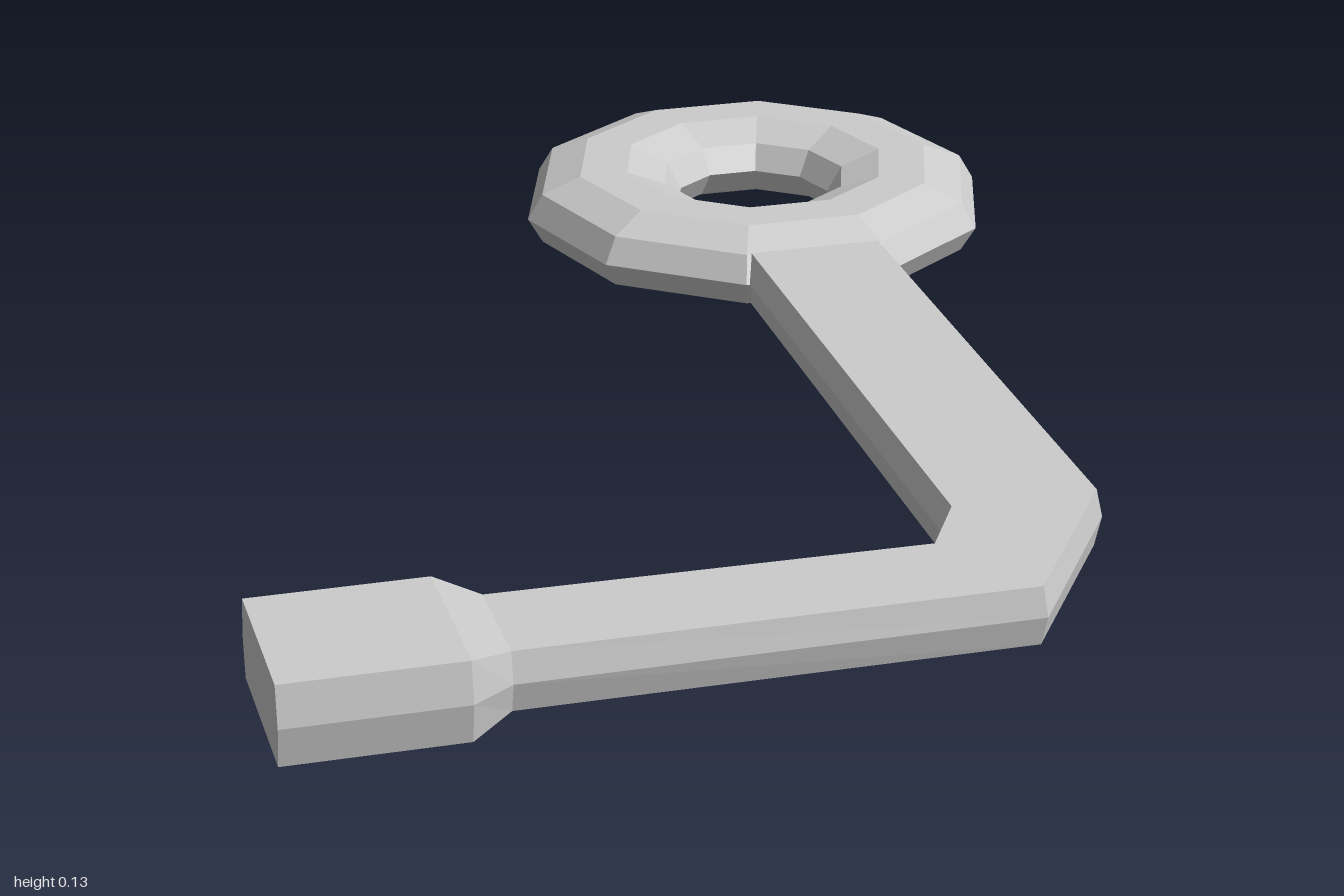
import * as THREE from 'three';

const material = new THREE.MeshStandardMaterial({ color: 0xcccccc, flatShading: true });
const MID = 0.067; // height of the horizontal mid plane

// Six-sided cross-section with slightly ridged sides
function section([xi, zi, xo, zo, h]) {
  const inner = new THREE.Vector3(xi, MID, zi);
  const outer = new THREE.Vector3(xo, MID, zo);
  const inset = outer.clone().sub(inner).setLength(0.01);
  const at = (p, s, y) => p.clone().addScaledVector(inset, s).setY(MID + y);
  return [
    at(inner, 1, h), at(outer, -1, h), outer,
    at(outer, -1, -h), at(inner, 1, -h), inner,
  ];
}

// Skin a row of cross-sections and close both ends
function loft(rows) {
  const rings = rows.map(section);
  const n = rings[0].length;
  const pos = [];
  const tri = (...pts) => pts.forEach((p) => pos.push(p.x, p.y, p.z));
  for (let i = 0; i < rings.length - 1; i++) {
    for (let j = 0; j < n; j++) {
      const k = (j + 1) % n;
      const a = rings[i][j], b = rings[i][k], c = rings[i + 1][k], d = rings[i + 1][j];
      tri(a, b, c);
      tri(a, c, d);
    }
  }
  const first = rings[0], last = rings[rings.length - 1];
  for (let j = 1; j < n - 1; j++) {
    tri(first[0], first[j + 1], first[j]);
    tri(last[0], last[j], last[j + 1]);
  }
  const geometry = new THREE.BufferGeometry();
  geometry.setAttribute('position', new THREE.Float32BufferAttribute(pos, 3));
  geometry.computeVertexNormals();
  return geometry;
}

export function createModel() {
  const group = new THREE.Group();

  // Bent arm with a thicker block at its free end: inner x, z, outer x, z, half height
  const arm = new THREE.Mesh(loft([
    [-0.745, 0.73, -0.745, 0.995, 0.058],
    [-0.495, 0.73, -0.495, 0.995, 0.058],
    [-0.435, 0.77, -0.435, 0.955, 0.043],
    [0.18, 0.78, 0.287, 0.955, 0.043],
    [0.235, 0.685, 0.467, 0.685, 0.043],
    [0.235, -0.3, 0.467, -0.3, 0.043],
  ]), material);
  arm.name = 'bentArm';
  group.add(arm);

  // Flattened ten-sided ring
  const ringGeometry = new THREE.TorusGeometry(0.26, 0.13, 10, 10);
  ringGeometry.rotateX(-Math.PI / 2);
  ringGeometry.scale(1, 0.545, 1);
  const ring = new THREE.Mesh(ringGeometry, material);
  ring.name = 'ring';
  ring.position.set(0.35, MID, -0.63);
  group.add(ring);

  return group;
}
